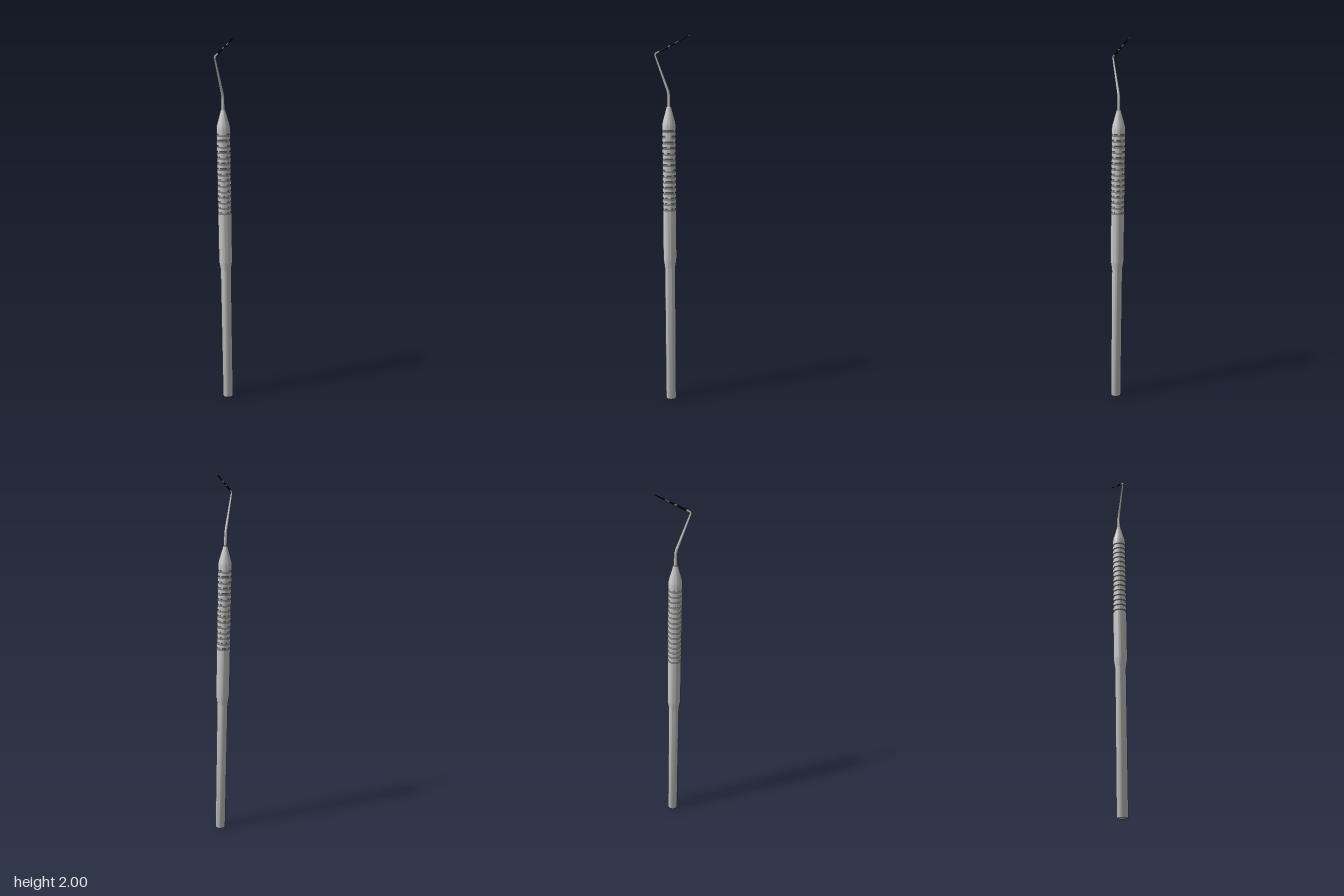
import * as THREE from 'three';
import { toCreasedNormals } from 'three/addons/utils/BufferGeometryUtils.js';

const V = (x, y, z) => new THREE.Vector3(x, y, z);
const UP = V(0, 1, 0);

export function createModel() {
  const group = new THREE.Group();
  const steel = new THREE.MeshStandardMaterial({ color: 0xcccccc });
  const black = new THREE.MeshStandardMaterial({ color: 0x0a0a0a });

  const add = (name, geometry, material = steel) => {
    const mesh = new THREE.Mesh(geometry, material);
    mesh.name = name;
    group.add(mesh);
    return mesh;
  };

  // Tapered round rod between two points
  const rod = (name, a, b, ra, rb, material) => {
    const mesh = add(name, new THREE.CylinderGeometry(rb, ra, a.distanceTo(b), 20), material);
    mesh.position.copy(a).lerp(b, 0.5);
    mesh.quaternion.setFromUnitVectors(UP, b.clone().sub(a).normalize());
  };

  // Handle: slightly leaning, with a wide grip, grooves and a conical nose
  const base = V(-0.003, 0.0005, 0.016);
  const neck = V(-0.017, 1.64, -0.008);
  const axis = neck.clone().sub(base).normalize();
  const profile = [[0, 0], [0.028, 0], [0.029, 0.003], [0.0295, 0.765], [0.031, 0.78], [0.036, 0.81], [0.037, 0.825]];
  const grooves = 15, pitch = 0.0298, depth = 0.0035;
  for (let i = 0; i < grooves; i++) {
    const y = 1.095 + i * pitch;
    profile.push([0.037, y - 0.005], [0.037 - depth, y - 0.003], [0.037 - depth, y + 0.003], [0.037, y + 0.005]);
  }
  profile.push([0.037, 1.54], [0.0345, 1.56], [0.0145, 1.632], [0.0125, 1.64], [0, 1.64]);
  const lathe = new THREE.LatheGeometry(profile.map(([r, y]) => new THREE.Vector2(r, y)), 40);
  const handle = add('handle', toCreasedNormals(lathe, 0.5));
  handle.position.copy(base);
  handle.quaternion.setFromUnitVectors(UP, axis);

  // Shank: tapered bent wire with rounded corners
  const start = neck.clone().addScaledVector(axis, -0.01);
  const bend = neck.clone().addScaledVector(axis, 0.07);
  const elbow = V(-0.09, 1.906, -0.005);
  const tip = V(0.091, 2.0, -0.019);
  const near = (a, b, d) => a.clone().addScaledVector(b.clone().sub(a).normalize(), d);
  const path = new THREE.CurvePath();
  const b0 = near(bend, start, 0.02), b1 = near(bend, elbow, 0.02);
  const e0 = near(elbow, bend, 0.01), e1 = near(elbow, tip, 0.01);
  path.add(new THREE.LineCurve3(start, b0));
  path.add(new THREE.QuadraticBezierCurve3(b0, bend, b1));
  path.add(new THREE.LineCurve3(b1, e0));
  path.add(new THREE.QuadraticBezierCurve3(e0, elbow, e1));
  const rings = 90, sides = 20;
  const tube = new THREE.TubeGeometry(path, rings, 1, sides);
  const pos = tube.attributes.position;
  const p = V(0, 0, 0);
  for (let i = 0; i < pos.count; i++) {
    const t = Math.floor(i / (sides + 1)) / rings;
    const c = path.getPointAt(t);
    const r = THREE.MathUtils.lerp(0.01, 0.0058, t);
    p.fromBufferAttribute(pos, i).sub(c).multiplyScalar(r).add(c);
    pos.setXYZ(i, p.x, p.y, p.z);
  }
  add('shank', tube);

  // Measuring tip: alternating plain and black bands
  const stops = [0, 0.09, 0.35, 0.41, 0.55, 0.67, 0.95, 1];
  for (let i = 0; i < stops.length - 1; i++) {
    const [s, t] = [stops[i], stops[i + 1]];
    const at = (k) => e1.clone().lerp(tip, k);
    const radius = (k) => THREE.MathUtils.lerp(0.0058, 0.0022, k);
    const dark = i % 2 === 1;
    rod(dark ? 'tipBlackBand' : 'tipPlainBand', at(s), at(t), radius(s), radius(t), dark ? black : steel);
  }
  return group;
}
